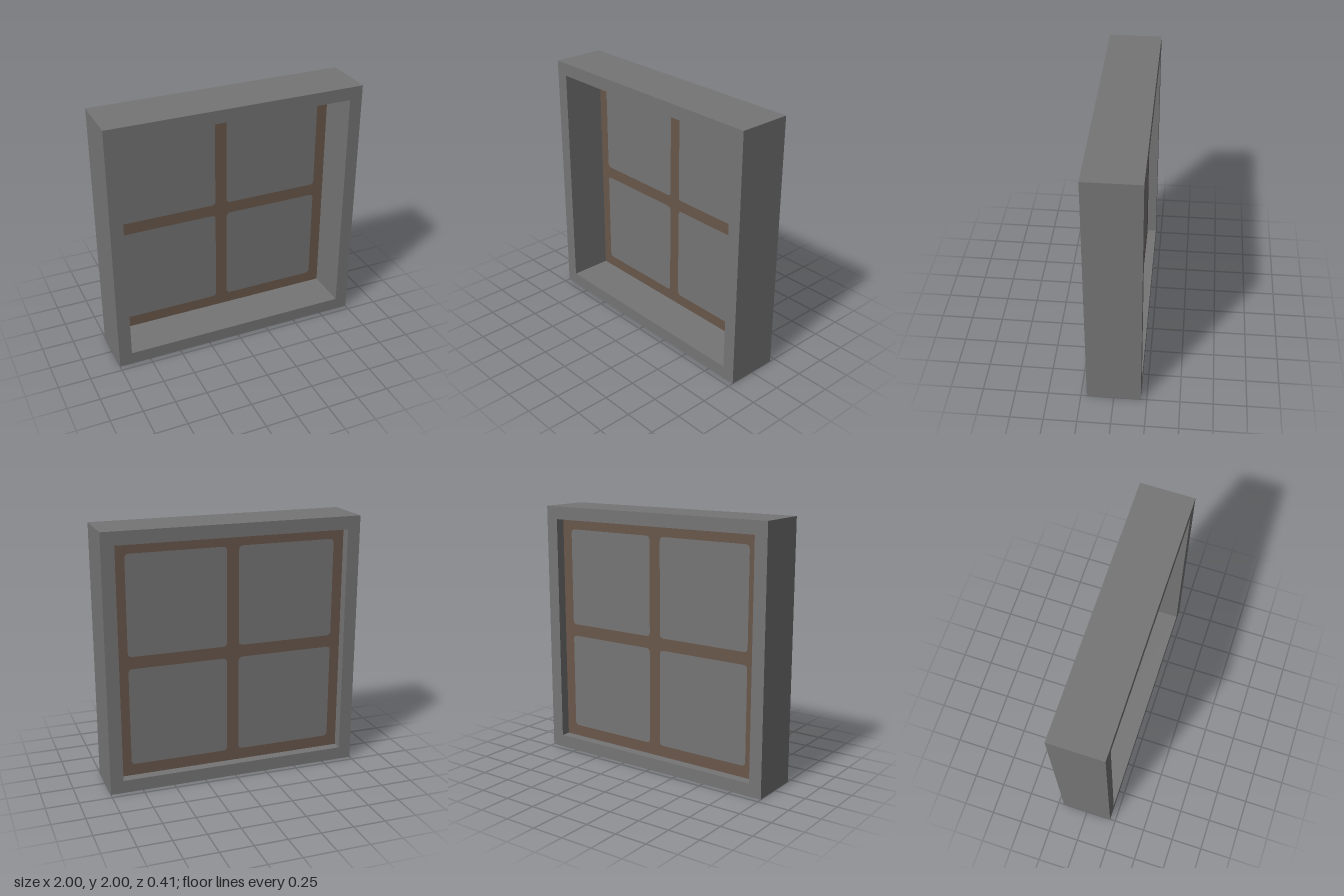
import * as THREE from 'three';

const DEPTH = 0.41;   // frame depth
const SHEET_Z = -0.13; // window sits near the back of the frame

// Trace a rectangle with rounded corners into a Shape or Path
function roundedRect(path, x0, y0, x1, y1, r) {
  path.moveTo(x0 + r, y0);
  path.lineTo(x1 - r, y0);
  path.quadraticCurveTo(x1, y0, x1, y0 + r);
  path.lineTo(x1, y1 - r);
  path.quadraticCurveTo(x1, y1, x1 - r, y1);
  path.lineTo(x0 + r, y1);
  path.quadraticCurveTo(x0, y1, x0, y1 - r);
  path.lineTo(x0, y0 + r);
  path.quadraticCurveTo(x0, y0, x0 + r, y0);
  return path;
}

function rect(path, x0, y0, x1, y1) {
  path.moveTo(x0, y0);
  path.lineTo(x1, y0);
  path.lineTo(x1, y1);
  path.lineTo(x0, y1);
  path.closePath();
  return path;
}

export function createModel() {
  const group = new THREE.Group();
  group.name = 'window';

  const grey = new THREE.MeshStandardMaterial({ color: 0x757576, side: THREE.DoubleSide });
  grey.name = 'grey';
  const brown = new THREE.MeshStandardMaterial({ color: 0x69574b, side: THREE.DoubleSide });
  brown.name = 'brown';

  const add = (name, geometry, material, z) => {
    const mesh = new THREE.Mesh(geometry, material);
    mesh.name = name;
    mesh.position.z = z;
    group.add(mesh);
  };

  // Deep outer frame with a square opening
  const frame = rect(new THREE.Shape(), -1, 0, 1, 2);
  frame.holes.push(rect(new THREE.Path(), -0.9, 0.1, 0.9, 1.9));
  add('outerFrame', new THREE.ExtrudeGeometry(frame, { depth: DEPTH, bevelEnabled: false }), grey, -DEPTH / 2);

  // Flat brown lattice with four panes set flush in it
  const lattice = rect(new THREE.Shape(), -0.9, 0.1, 0.9, 1.9);
  for (const [side, x0, x1] of [['Right', -0.82, -0.05], ['Left', 0.045, 0.815]]) {
    for (const [level, y0, y1] of [['lower', 0.19, 0.955], ['upper', 1.05, 1.82]]) {
      lattice.holes.push(roundedRect(new THREE.Path(), x0, y0, x1, y1, 0.035));
      const pane = roundedRect(new THREE.Shape(), x0, y0, x1, y1, 0.035);
      add(level + side + 'Pane', new THREE.ShapeGeometry(pane), grey, SHEET_Z);
    }
  }
  add('lattice', new THREE.ShapeGeometry(lattice), brown, SHEET_Z);

  return group;
}
